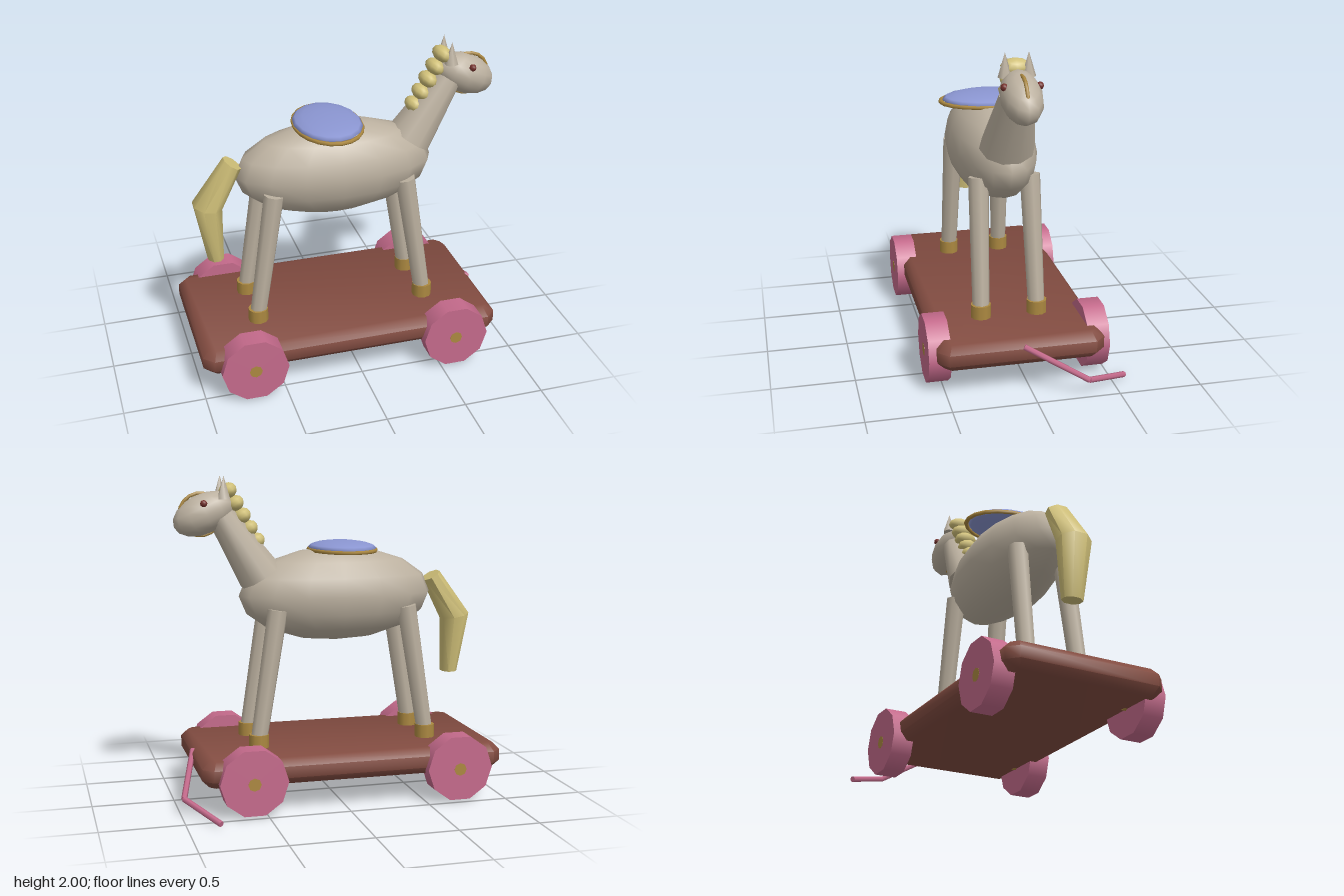
import * as THREE from 'three';
import { toCreasedNormals } from 'three/addons/utils/BufferGeometryUtils.js';

const mat = (name, color) => {
  const m = new THREE.MeshStandardMaterial({ color });
  m.name = name;
  return m;
};

export function createModel() {
  const coat = mat('coat grey', 0xbbb09f);
  const straw = mat('mane straw', 0xcfbf78);
  const ochre = mat('trim ochre', 0xab8840);
  const brown = mat('platform brown', 0x824c41);
  const pink = mat('wheel pink', 0xc46a8b);
  const blue = mat('saddle blue', 0x8b96d2);
  const eyeRed = mat('eye red brown', 0x74302b);

  const model = new THREE.Group();
  model.name = 'pullAlongHorse';
  const horse = new THREE.Group();
  horse.name = 'horse';
  horse.position.z = 0.053;
  model.add(horse);

  const add = (parent, name, geo, material, x = 0, y = 0, z = 0) => {
    const m = new THREE.Mesh(geo, material);
    m.name = name;
    m.position.set(x, y, z);
    parent.add(m);
    return m;
  };
  const ellipsoid = (rx, ry, rz, w = 16, h = 8) => new THREE.SphereGeometry(1, w, h).scale(rx, ry, rz);

  // Tapered round bar from point a to point b
  const bar = (parent, name, material, a, b, ra, rb, sides = 8, zScale = 1) => {
    const p = new THREE.Vector3(...a), q = new THREE.Vector3(...b);
    const d = q.clone().sub(p);
    const geo = new THREE.CylinderGeometry(rb, ra, d.length(), sides).scale(1, 1, zScale);
    const m = add(parent, name, geo, material);
    m.position.copy(p).add(q).multiplyScalar(0.5);
    m.quaternion.setFromUnitVectors(new THREE.Vector3(0, 1, 0), d.normalize());
    return m;
  };

  // Platform: chamfered board
  const hx = 0.895, hz = 0.455, c = 0.035;
  const board = new THREE.Shape([
    [-hx + c, -hz], [hx - c, -hz], [hx, -hz + c], [hx, hz - c],
    [hx - c, hz], [-hx + c, hz], [-hx, hz - c], [-hx, -hz + c],
  ].map(([x, y]) => new THREE.Vector2(x, y)));
  const boardGeo = new THREE.ExtrudeGeometry(board, {
    depth: 0.07, bevelEnabled: true, bevelSize: 0.045, bevelThickness: 0.045, bevelSegments: 1,
  });
  boardGeo.rotateX(-Math.PI / 2);
  add(model, 'platform', toCreasedNormals(boardGeo, 0.9), brown, -0.06, 0.225, 0.05);

  // Wheels with axle ends
  for (const x of [-0.7, 0.587]) {
    for (const side of [1, -1]) {
      const z = 0.05 + side * 0.48;
      const wheel = new THREE.CylinderGeometry(0.207, 0.207, 0.133, 10, 1, false, Math.PI / 10);
      add(model, 'wheel', wheel.rotateX(Math.PI / 2), pink, x, 0.218, z);
      const axle = new THREE.CylinderGeometry(0.04, 0.04, 0.155, 8);
      add(model, 'axleEnd', axle.rotateX(Math.PI / 2), ochre, x, 0.212, z - side * 0.01);
    }
  }

  // Pull cord with a bent handle
  const cord = [[0.87, 0.305, 0.05], [0.98, 0.105, -0.315], [0.805, 0.02, -0.585]];
  bar(model, 'pullCord', pink, cord[0], cord[1], 0.018, 0.018, 6);
  bar(model, 'pullCordEnd', pink, cord[1], cord[2], 0.018, 0.018, 6);

  // Body, neck and head
  add(horse, 'body', ellipsoid(0.622, 0.295, 0.265), coat, -0.055, 1.26);
  bar(horse, 'neck', coat, [0.43, 1.385, 0], [0.67, 1.755, 0], 0.14, 0.085, 10, 1.2);
  const head = add(horse, 'head', ellipsoid(0.2, 0.122, 0.12, 12, 8), coat, 0.775, 1.77);
  head.rotation.z = -0.42;

  // Ears, eyes, legs and hooves, mirrored
  for (const s of [1, -1]) {
    add(horse, 'ear', new THREE.ConeGeometry(0.042, 0.14, 6), coat, 0.663, 1.93, s * 0.068);
    add(horse, 'eye', ellipsoid(0.022, 0.022, 0.022, 8, 6), eyeRed, 0.79, 1.835, s * 0.1);
    for (const [name, topX, footX] of [['frontLeg', 0.355, 0.483], ['hindLeg', -0.472, -0.597]]) {
      bar(horse, name, coat, [footX, 0.38, s * 0.172], [topX, 1.185, s * 0.157], 0.052, 0.063, 8);
      add(horse, 'hoof', new THREE.CylinderGeometry(0.062, 0.062, 0.09, 10), ochre, footX, 0.377, s * 0.173);
    }
  }

  // Mane: beads down the back of the neck
  for (let i = 0; i < 5; i++) {
    const bead = add(horse, 'maneBead', ellipsoid(0.058, 0.048, 0.088 - i * 0.004, 10, 6), straw,
      0.627 - i * 0.043, 1.908 - i * 0.077);
    bead.rotation.z = -0.5;
  }

  // Bridle ring around the face
  add(horse, 'bridle', new THREE.TorusGeometry(0.128, 0.011, 6, 18), ochre, 0.797, 1.766);

  // Saddle pad and its rim
  add(horse, 'saddle', ellipsoid(0.208, 0.045, 0.288), blue, -0.095, 1.548);
  const rim = new THREE.TorusGeometry(1, 0.05, 6, 20).rotateX(Math.PI / 2).scale(0.205, 0.25, 0.298);
  add(horse, 'saddleRim', rim, ochre, -0.095, 1.536);

  // Tail: bent loft through three oval rings [x, y, tilt, radius, half width]
  const rings = [[-0.688, 1.355, -0.55, 0.056, 0.085], [-0.852, 1.09, -0.2, 0.086, 0.11], [-0.817, 0.726, 0, 0.048, 0.068]];
  const n = 8, pos = [], idx = [];
  rings.forEach(([x, y, tilt, r, w]) => {
    for (let i = 0; i < n; i++) {
      const a = (i + 0.5) / n * Math.PI * 2, u = Math.cos(a) * r / Math.cos(Math.PI / n);
      pos.push(x + u * Math.cos(tilt), y + u * Math.sin(tilt), Math.sin(a) * w);
    }
  });
  for (let k = 0; k < rings.length - 1; k++) {
    for (let i = 0; i < n; i++) {
      const a = k * n + i, b = k * n + (i + 1) % n;
      idx.push(a, b, a + n, b, b + n, a + n);
    }
  }
  const last = (rings.length - 1) * n;
  for (let i = 1; i < n - 1; i++) idx.push(0, i + 1, i, last, last + i, last + i + 1);
  const tailGeo = new THREE.BufferGeometry();
  tailGeo.setAttribute('position', new THREE.Float32BufferAttribute(pos, 3));
  tailGeo.setIndex(idx);
  add(horse, 'tail', toCreasedNormals(tailGeo, 0.9), straw);

  return model;
}
